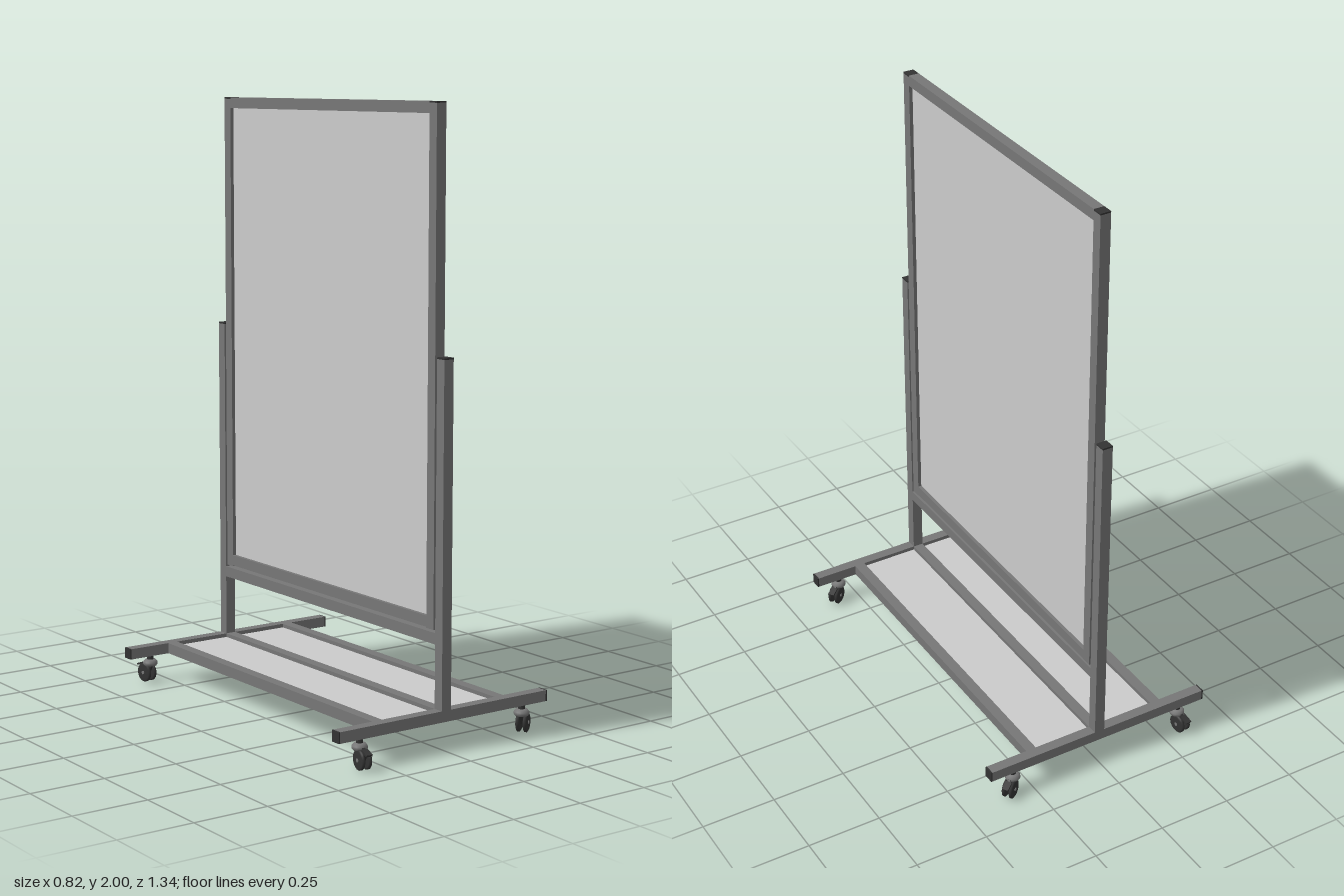
import * as THREE from 'three';

const frameMat = new THREE.MeshStandardMaterial({ color: 0x777777 });
const panelMat = new THREE.MeshStandardMaterial({ color: 0xcccccc });
const darkMat = new THREE.MeshStandardMaterial({ color: 0x333333 });

const T = 0.036; // bar thickness
const CAP = 0.005; // end cap thickness

function add(parent, name, geometry, material, x, y, z) {
  const mesh = new THREE.Mesh(geometry, material);
  mesh.name = name;
  mesh.position.set(x, y, z);
  parent.add(mesh);
  return mesh;
}

function box(parent, name, w, h, d, x, y, z, material = frameMat) {
  return add(parent, name, new THREE.BoxGeometry(w, h, d), material, x, y, z);
}

// Vertical bar closed by a dark cap at the top
function post(parent, name, y0, y1, z) {
  box(parent, name, T, y1 - CAP - y0, T, 0, (y0 + y1 - CAP) / 2, z);
  box(parent, name + 'Cap', T, CAP, T, 0, y1 - CAP / 2, z, darkMat);
}

// Swivel caster whose wheels trail towards local +x
function createCaster() {
  const caster = new THREE.Group();
  caster.name = 'caster';
  add(caster, 'casterStem', new THREE.CylinderGeometry(0.011, 0.011, 0.03, 16), darkMat, 0, 0.084, 0);

  // Swivel housing with a rounded shoulder
  const profile = [[0, 0.058], [0.02, 0.058], [0.025, 0.064], [0.025, 0.072], [0.018, 0.08], [0, 0.082]]
    .map(([r, y]) => new THREE.Vector2(r, y));
  add(caster, 'swivelHousing', new THREE.LatheGeometry(profile, 20), frameMat, 0, 0, 0);

  // Central fork, hooded over the wheels
  const fork = new THREE.Shape();
  fork.moveTo(-0.018, 0.07);
  fork.lineTo(0.025, 0.07);
  fork.lineTo(0.042, 0.055);
  fork.lineTo(0.026, 0.026);
  fork.lineTo(0.01, 0.026);
  fork.closePath();
  const forkGeometry = new THREE.ExtrudeGeometry(fork, { depth: 0.01, bevelEnabled: false });
  add(caster, 'fork', forkGeometry, darkMat, 0, 0, -0.005);

  const wheelProfile = [[0, -0.006], [0.027, -0.006], [0.032, -0.003], [0.032, 0.003], [0.027, 0.006], [0, 0.006]]
    .map(([r, y]) => new THREE.Vector2(r, y));
  for (const side of [-1, 1]) {
    const wheel = add(caster, 'wheel', new THREE.LatheGeometry(wheelProfile, 24), darkMat, 0.018, 0.032, side * 0.012);
    wheel.rotation.x = Math.PI / 2;
  }
  const axle = add(caster, 'axle', new THREE.CylinderGeometry(0.006, 0.006, 0.04, 12), frameMat, 0.018, 0.032, 0);
  axle.rotation.x = Math.PI / 2;

  // Brake pedal above the wheels
  const pedal = box(caster, 'brakePedal', 0.032, 0.006, 0.022, 0.044, 0.059, 0, darkMat);
  pedal.rotation.z = -0.35;
  return caster;
}

export function createModel() {
  const model = new THREE.Group();
  model.name = 'mobileBoard';
  const footZ = 0.61, sideZ = 0.565, baseY = 0.113;

  for (const s of [-1, 1]) {
    // Feet with end caps
    box(model, 'foot', 0.82 - 2 * CAP, T, T, 0, baseY, s * footZ);
    for (const e of [-1, 1]) {
      box(model, 'footCap', CAP, T, T, e * (0.41 - CAP / 2), baseY, s * footZ, darkMat);
    }
    // Uprights and the sides of the board frame
    post(model, 'upright', baseY + T / 2, 1.23, s * footZ);
    post(model, 'boardFrameSide', 0.38, 2, s * sideZ);
    // Bracket joining board frame to upright
    for (const y of [0.5, 0.85, 1.17]) {
      box(model, 'frameJoint', 0.02, 0.03, 0.012, 0, y, s * 0.587);
    }
  }

  // Board rails and panel
  const railLength = 2 * sideZ - T;
  box(model, 'boardTopRail', T, T, railLength, 0, 1.982, 0);
  box(model, 'boardBottomRail', T, T, railLength, 0, 0.401, 0);
  box(model, 'boardPanel', 0.012, 1.56, railLength + 0.01, 0, 1.191, 0, panelMat);

  // Crossbar under the board
  const span = 2 * footZ - T;
  box(model, 'crossbar', T, T, span, 0, 0.354, 0);

  // Base beams and the shelf panels between them
  for (const x of [-0.24, 0, 0.24]) box(model, 'baseBeam', T, T, span, x, baseY, 0);
  for (const s of [-1, 1]) {
    box(model, 'shelfPanel', 0.206, 0.01, span, s * 0.12, baseY, 0, panelMat);
  }

  // Casters: position, then the direction each one trails
  const casters = [
    [-0.32, -footZ, -0.15, -1],
    [-0.32, footZ, -0.1, 1],
    [0.32, -footZ, 0.82, -0.57],
    [0.32, footZ, 0.82, -0.57],
  ];
  for (const [x, z, dx, dz] of casters) {
    const caster = createCaster();
    caster.position.set(x, 0, z);
    caster.rotation.y = Math.atan2(-dz, dx);
    model.add(caster);
  }
  return model;
}
